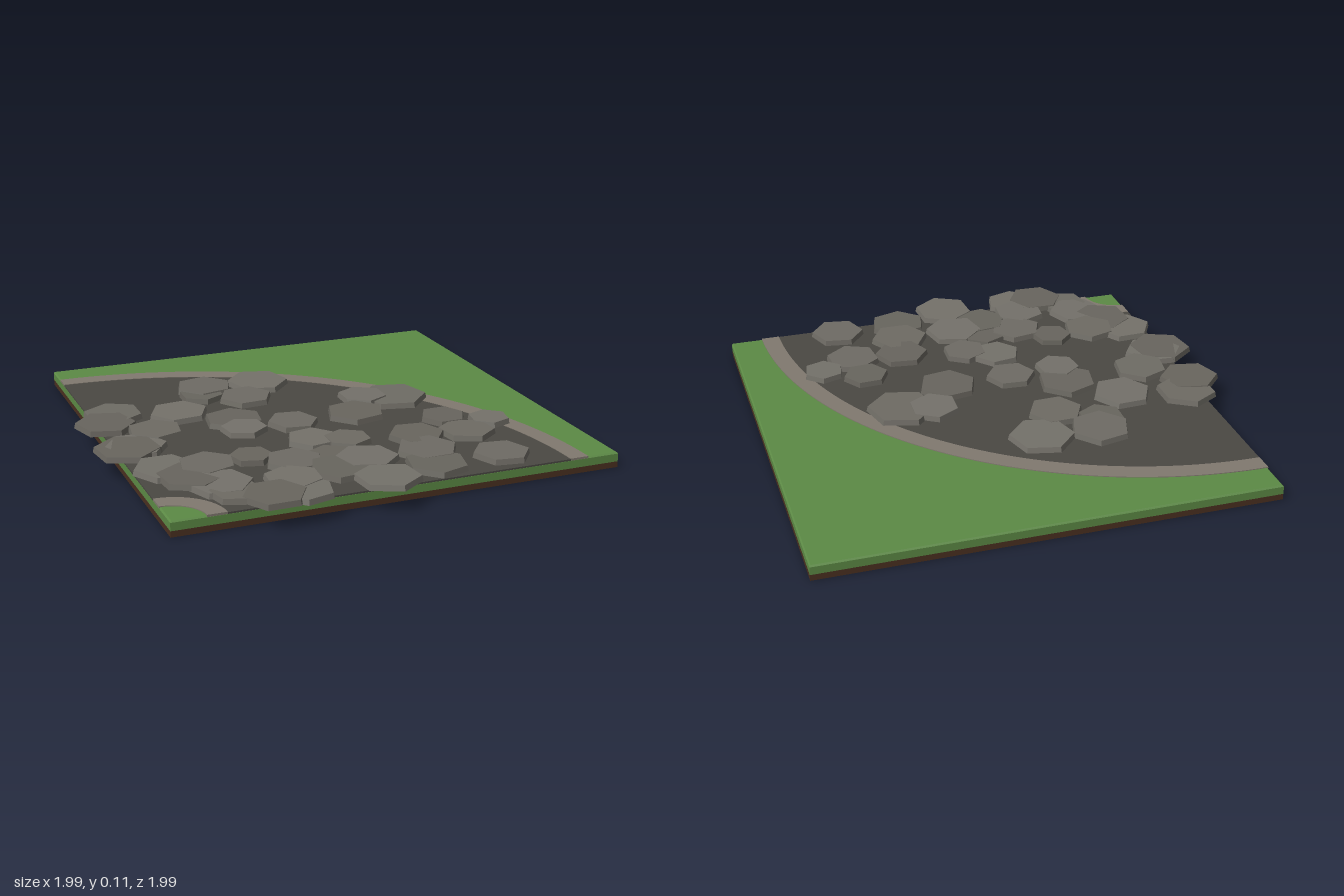
import * as THREE from 'three';

const mat = (color) => new THREE.MeshStandardMaterial({ color, flatShading: true });
const SIZE = 1.88, CX = 0.05, CZ = -0.06;          // square tile
const CORNER = [-0.89, 0.88];                      // centre of the road's bend

function add(parent, name, geometry, material, x, y, z) {
  const m = new THREE.Mesh(geometry, material);
  m.name = name;
  m.position.set(x, y, z);
  parent.add(m);
  return m;
}

// Quarter ring lying flat, between two radii
function quarterRing(inner, outer, depth) {
  const s = new THREE.Shape();
  s.absarc(0, 0, outer, 0, Math.PI / 2, false);
  s.absarc(0, 0, inner, Math.PI / 2, 0, true);
  s.closePath();
  return new THREE.ExtrudeGeometry(s, { depth, bevelEnabled: false, curveSegments: 32 }).rotateX(-Math.PI / 2);
}

// Paving stones: x, z, radius
const STONES = [
  [-0.81, -0.22, 0.13], [-0.87, -0.11, 0.13], [-0.54, -0.15, 0.13], [-0.7, 0.04, 0.12],
  [-0.86, 0.2, 0.14], [-0.82, 0.18, 0.13], [-0.34, -0.42, 0.13], [-0.38, -0.33, 0.1],
  [-0.09, -0.41, 0.14], [-0.21, -0.23, 0.12], [-0.35, 0.02, 0.13], [-0.35, 0.15, 0.1],
  [-0.13, 0.14, 0.11], [0.16, 0.13, 0.13], [0.27, -0.05, 0.11], [0.4, -0.01, 0.15],
  [0.48, 0.32, 0.1], [0.65, 0.41, 0.09], [0.5, 0.5, 0.12], [0.28, 0.48, 0.12],
  [-0.13, 0.36, 0.11], [0, 0.42, 0.1], [-0.43, 0.46, 0.09], [-0.78, 0.45, 0.13],
  [-0.62, 0.48, 0.12], [-0.71, 0.57, 0.14], [-0.63, 0.68, 0.13], [-0.29, 0.57, 0.12],
  [-0.13, 0.56, 0.1], [-0.01, 0.64, 0.13], [0.25, 0.64, 0.13], [0.22, 0.79, 0.13],
  [-0.02, 0.86, 0.135], [0.51, 0.78, 0.12], [-0.15, 0.7, 0.13], [-0.36, 0.74, 0.12],
  [-0.6, 0.78, 0.11], [-0.48, 0.86, 0.13], [-0.36, 0.86, 0.12],
];

export function createModel() {
  const model = new THREE.Group();
  const soil = mat(0x4a3020), grass = mat(0x5c8a45), road = mat(0x4a4843), curb = mat(0x80796f);

  // Ground slab: soil, turf, and a narrow sloped edge on the turf
  add(model, 'soil', new THREE.BoxGeometry(SIZE, 0.025, SIZE), soil, CX, 0.0125, CZ);
  add(model, 'turf', new THREE.BoxGeometry(SIZE, 0.033, SIZE), grass, CX, 0.0415, CZ);
  const half = SIZE / Math.SQRT2;
  const lip = new THREE.CylinderGeometry(half - 0.008, half, 0.006, 4).rotateY(Math.PI / 4);
  add(model, 'turfEdge', lip, grass, CX, 0.061, CZ);

  // Curved road with a kerb on either side
  const [x, z] = CORNER;
  add(model, 'road', quarterRing(0.22, 1.66, 0.007), road, x, 0.0585, z);
  add(model, 'outerKerb', quarterRing(1.66, 1.74, 0.009), curb, x, 0.0585, z);
  add(model, 'innerKerb', quarterRing(0.14, 0.22, 0.009), curb, x, 0.0585, z);

  // Loose hexagonal stones, each turned and slightly tilted, with a small bevel
  const stones = new THREE.Group();
  stones.name = 'pavingStones';
  model.add(stones);
  const shades = [mat(0x6e6b64), mat(0x68655e), mat(0x74716a)];
  STONES.forEach(([sx, sz, r], i) => {
    const turn = THREE.MathUtils.degToRad((i * 17) % 60);
    const g = new THREE.CylinderGeometry(r * 0.96, r, 0.023, 6).rotateY(turn);
    const y = 0.0965 + 0.0025 * Math.sin(i * 2.4);
    const stone = add(stones, 'stone', g, shades[i % 3], sx, y, sz);
    stone.rotation.set(0.015 * Math.sin(i * 1.7), 0, 0.015 * Math.cos(i * 2.9));
  });
  return model;
}
